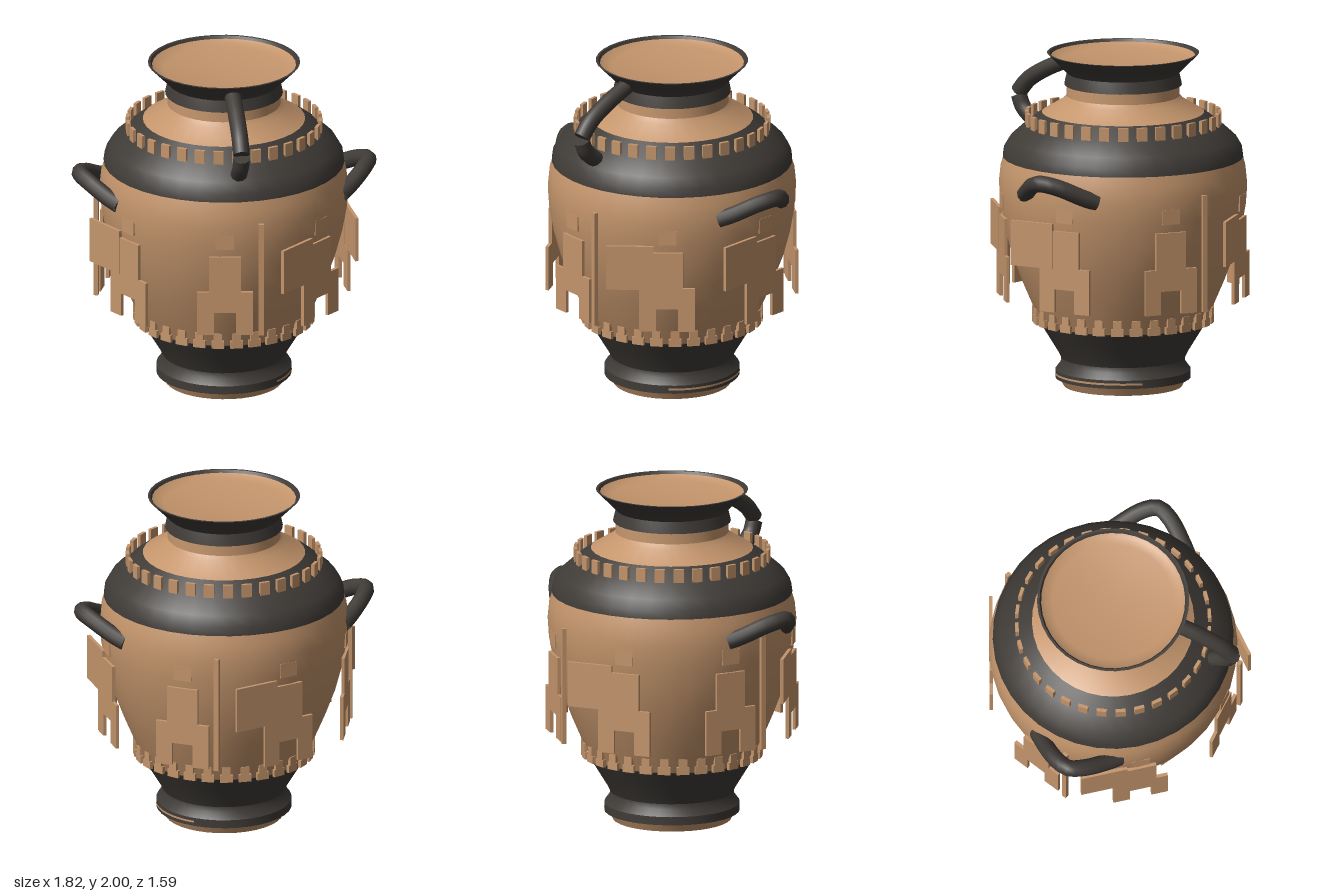
import * as THREE from 'three';
import { toCreasedNormals } from 'three/addons/utils/BufferGeometryUtils.js';

export function createModel() {
  const root = new THREE.Group();
  root.name = 'vase';
  const clay = new THREE.MeshStandardMaterial({ color: 0xc4956c });
  clay.name = 'clay';
  const glaze = new THREE.MeshStandardMaterial({ color: 0x3f3b37 });
  glaze.name = 'dark glaze';

  const add = (parent, name, geometry, material) => {
    const mesh = new THREE.Mesh(geometry, material);
    mesh.name = name;
    parent.add(mesh);
    return mesh;
  };
  // Turned part from [radius, height] pairs, listed bottom to top
  const turned = (name, profile, material) => {
    const g = new THREE.LatheGeometry(profile.map(([r, y]) => new THREE.Vector2(r, y)), 36);
    return add(root, name, toCreasedNormals(g, 0.6), material);
  };
  // Group turned so that its +z points outwards at the given angle
  const facing = (name, angle) => {
    const g = new THREE.Group();
    g.name = name;
    g.rotation.y = angle;
    root.add(g);
    return g;
  };

  // Vessel
  turned('base', [[0, 0], [0.35, 0], [0.38, 0.06]], clay);
  turned('foot', [[0.36, 0.05], [0.4, 0.05], [0.4, 0.1], [0.37, 0.14], [0.365, 0.17],
    [0.385, 0.21], [0.44, 0.3], [0.495, 0.39], [0.48, 0.392]], glaze);
  turned('body', [[0.485, 0.385], [0.54, 0.5], [0.6, 0.64], [0.66, 0.8], [0.7, 0.95],
    [0.727, 1.1], [0.735, 1.22], [0.725, 1.32], [0.7, 1.4]], clay);
  turned('shoulder', [[0.69, 1.38], [0.712, 1.38], [0.705, 1.43], [0.67, 1.49],
    [0.58, 1.57], [0.48, 1.645]], glaze);
  turned('neck', [[0.485, 1.64], [0.36, 1.715], [0.335, 1.745], [0.332, 1.82]], clay);
  turned('lip', [[0.32, 1.81], [0.348, 1.81], [0.342, 1.84], [0.332, 1.88], [0.38, 1.93],
    [0.45, 2], [0.435, 2], [0.42, 1.975]], glaze);
  turned('mouth', [[0.438, 1.994], [0.41, 1.972], [0.36, 1.96], [0, 1.955]], clay);

  // Fine line on one side of the foot
  add(root, 'footStripe', new THREE.CylinderGeometry(0.403, 0.403, 0.012, 24, 1, true, 0.75, 1.7), clay)
    .position.y = 0.077;

  // Upper ring of square teeth
  for (let i = 0; i < 32; i++) {
    const g = facing('upperTooth', (i / 32) * Math.PI * 2);
    add(g, 'tooth', new THREE.BoxGeometry(0.06, 0.08, 0.02), clay).position.set(0, 1.61, 0.57);
  }

  // Lower ring of stepped teeth
  for (let i = 0; i < 30; i++) {
    const g = facing('lowerTooth', (i / 30) * Math.PI * 2);
    add(g, 'toothFoot', new THREE.BoxGeometry(0.075, 0.045, 0.02), clay).position.set(0, 0.412, 0.527);
    add(g, 'toothTop', new THREE.BoxGeometry(0.05, 0.05, 0.02), clay).position.set(0, 0.458, 0.527);
  }

  // Flat figures round the belly: four with a broad panel, three with a tall rod
  const outline = (points) => {
    const shape = new THREE.Shape(points.map(([x, y]) => new THREE.Vector2(x, y)));
    return new THREE.ExtrudeGeometry(shape, { depth: 0.02, bevelEnabled: false });
  };
  const figure = outline([[-0.165, 0.55], [-0.065, 0.55], [-0.065, 0.69], [0.065, 0.69],
    [0.065, 0.55], [0.165, 0.55], [0.165, 0.82], [0.095, 0.82], [0.095, 1.04],
    [-0.095, 1.04], [-0.095, 0.82], [-0.165, 0.82]]);
  const hasPanel = [false, true, true, false, true, false, true];
  hasPanel.forEach((panel, i) => {
    const g = facing('figure', -0.133 + (i / 7) * Math.PI * 2);
    add(g, 'figureBody', figure, clay).position.z = 0.71;
    add(g, 'figureHead', new THREE.BoxGeometry(0.11, 0.09, 0.02), clay).position.set(0, 1.135, 0.722);
    if (panel) {
      add(g, 'panel', new THREE.BoxGeometry(0.28, 0.27, 0.02), clay).position.set(-0.22, 0.945, 0.722);
    } else {
      add(g, 'rod', new THREE.BoxGeometry(0.03, 0.7, 0.025), clay).position.set(0.215, 0.9, 0.725);
    }
  });

  // Handles: capped round bars along a curve
  const bar = (parent, name, points, radius) => {
    const path = new THREE.CatmullRomCurve3(points.map((p) => new THREE.Vector3(...p)));
    add(parent, name, new THREE.TubeGeometry(path, 20, radius, 10), glaze);
    for (const t of [0, 1]) {
      const cap = add(parent, name + 'End', new THREE.CircleGeometry(radius, 10), glaze);
      cap.position.copy(path.getPoint(t));
      const out = path.getTangent(t).multiplyScalar(t ? 1 : -1);
      cap.quaternion.setFromUnitVectors(new THREE.Vector3(0, 0, 1), out);
    }
  };
  for (const side of [1, -1]) {
    bar(root, side > 0 ? 'leftHandle' : 'rightHandle', [[0.66, 1.225, 0.255], [0.72, 1.255, 0.2],
      [0.82, 1.32, 0.09], [0.86, 1.342, 0], [0.82, 1.32, -0.09], [0.72, 1.255, -0.2],
      [0.66, 1.225, -0.255]].map(([x, y, z]) => [x * side, y, z]), 0.05);
  }
  bar(root, 'frontHandleUpper', [[0, 1.92, 0.38], [0, 1.85, 0.54], [0, 1.77, 0.67], [0, 1.69, 0.74]], 0.05);
  bar(root, 'frontHandleLower', [[0, 1.67, 0.74], [0, 1.6, 0.71], [0, 1.52, 0.62]], 0.05);

  return root;
}
